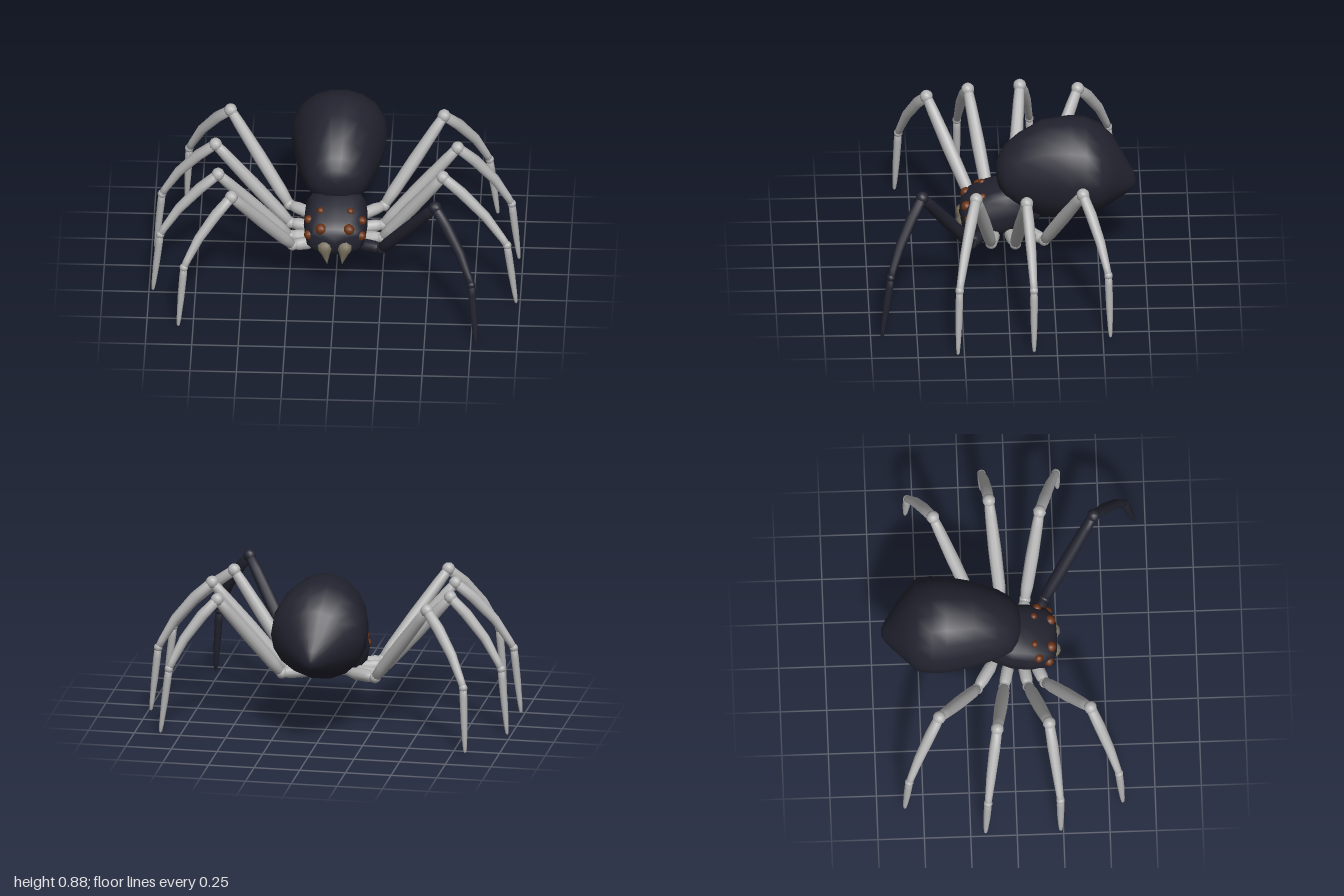
import * as THREE from 'three';

const mat = (name, color) => {
  const m = new THREE.MeshStandardMaterial({ color });
  m.name = name;
  return m;
};

// Closed body lofted along z from rows of [z, top, bottom, halfWidth]; power < 1 makes it boxier
function loft(rows, sides, power) {
  const pos = [], idx = [];
  const bend = (v) => Math.sign(v) * Math.pow(Math.abs(v), power);
  rows.forEach(([z, top, bottom, w]) => {
    for (let j = 0; j < sides; j++) {
      const a = (j / sides) * Math.PI * 2;
      pos.push(w * bend(Math.cos(a)), (top + bottom) / 2 + ((top - bottom) / 2) * bend(Math.sin(a)), z);
    }
  });
  for (let i = 0; i < rows.length - 1; i++) {
    for (let j = 0; j < sides; j++) {
      const k = (j + 1) % sides;
      const a = i * sides + j, b = i * sides + k, c = a + sides, d = b + sides;
      idx.push(a, c, b, b, c, d);
    }
  }
  const g = new THREE.BufferGeometry();
  g.setAttribute('position', new THREE.Float32BufferAttribute(pos, 3));
  g.setIndex(idx);
  g.computeVertexNormals();
  return g;
}

// Round limb from a to b, radii given as [fraction, radius], bowed by a vector at the middle
function limb(name, a, b, radii, material, bow = new THREE.Vector3()) {
  const dir = b.clone().sub(a), len = dir.length();
  const g = new THREE.LatheGeometry(radii.map(([t, r]) => new THREE.Vector2(r, t * len)), 10);
  g.applyQuaternion(new THREE.Quaternion().setFromUnitVectors(new THREE.Vector3(0, 1, 0), dir.clone().normalize()));
  const p = g.attributes.position, v = new THREE.Vector3();
  for (let i = 0; i < p.count; i++) {
    v.fromBufferAttribute(p, i);
    const t = THREE.MathUtils.clamp(v.dot(dir) / (len * len), 0, 1);
    v.addScaledVector(bow, Math.sin(t * Math.PI)).add(a);
    p.setXYZ(i, v.x, v.y, v.z);
  }
  const mesh = new THREE.Mesh(g, material);
  mesh.name = name;
  return mesh;
}

function ball(name, c, r, material) {
  const m = new THREE.Mesh(new THREE.SphereGeometry(r, 10, 7), material);
  m.position.copy(c);
  m.name = name;
  return m;
}

const COXA = [[0, 0], [0, 0.018], [0.35, 0.034], [0.75, 0.033], [1, 0.024], [1, 0]];
const FEMUR = [[0, 0], [0, 0.026], [0.15, 0.034], [0.5, 0.036], [0.85, 0.031], [1, 0.026], [1, 0]];
const TIBIA = [[0, 0], [0, 0.028], [0.25, 0.031], [0.6, 0.027], [0.9, 0.021], [1, 0.02], [1, 0]];
const TARSUS = [[0, 0], [0, 0.019], [0.15, 0.021], [0.5, 0.019], [0.85, 0.013], [0.97, 0.009], [1, 0]];

// One leg through its five joints
function leg(name, joints, material) {
  const [root, hip, knee, ankle, foot] = joints.map((j) => new THREE.Vector3(...j));
  const out = new THREE.Vector3(ankle.x - knee.x, 0, ankle.z - knee.z).normalize().multiplyScalar(0.025);
  out.y = 0.015;
  const g = new THREE.Group();
  g.name = name;
  g.add(
    limb('coxa', root, hip, COXA, material),
    ball('hipJoint', hip, 0.032, material),
    limb('femur', hip, knee, FEMUR, material),
    ball('kneeJoint', knee, 0.036, material),
    limb('tibia', knee, ankle, TIBIA, material, out),
    ball('ankleJoint', ankle, 0.024, material),
    limb('tarsus', ankle, foot, TARSUS, material)
  );
  return g;
}

export function createModel() {
  const dark = mat('darkNavy', 0x232330);
  const grey = mat('grey', 0xb4b4b4);
  const orange = mat('burntOrange', 0x6a3010);
  const tan = mat('tan', 0x7a7260);

  const model = new THREE.Group();
  model.name = 'spider';

  // Abdomen
  const abdomen = new THREE.Mesh(loft([
    [0.053, 0.6, 0.59, 0], [0.05, 0.64, 0.55, 0.05], [0.035, 0.68, 0.5, 0.1], [0, 0.735, 0.44, 0.15],
    [-0.07, 0.8, 0.39, 0.185], [-0.2, 0.88, 0.335, 0.225], [-0.35, 0.897, 0.325, 0.255],
    [-0.43, 0.885, 0.35, 0.26], [-0.51, 0.84, 0.385, 0.25], [-0.58, 0.775, 0.42, 0.175],
    [-0.64, 0.665, 0.45, 0.105], [-0.685, 0.585, 0.475, 0.045], [-0.698, 0.54, 0.5, 0.015], [-0.7, 0.52, 0.52, 0]
  ], 18, 1), dark);
  abdomen.name = 'abdomen';

  // Head and thorax
  const thorax = new THREE.Mesh(loft([
    [0.25, 0.35, 0.34, 0], [0.245, 0.4, 0.29, 0.08], [0.225, 0.425, 0.265, 0.135], [0.19, 0.455, 0.25, 0.16],
    [0.1, 0.5, 0.238, 0.172], [0, 0.53, 0.25, 0.168], [-0.1, 0.5, 0.285, 0.13],
    [-0.18, 0.43, 0.32, 0.08], [-0.2, 0.38, 0.38, 0]
  ], 16, 0.72), dark);
  thorax.name = 'headAndThorax';
  model.add(abdomen, thorax);

  // Eyes and fangs, mirrored
  const eyes = [[0.075, 0.415, 0.212, 0.031], [0.14, 0.37, 0.2, 0.028], [0.143, 0.43, 0.145, 0.025], [0.08, 0.475, 0.125, 0.02]];
  for (const s of [1, -1]) {
    for (const [x, y, z, r] of eyes) model.add(ball('eye', new THREE.Vector3(s * x, y, z), r, orange));
    model.add(limb('fang', new THREE.Vector3(s * 0.06, 0.36, 0.215), new THREE.Vector3(s * 0.04, 0.215, 0.25),
      [[0, 0], [0, 0.022], [0.22, 0.042], [0.42, 0.04], [0.6, 0.025], [1, 0]], tan));
  }

  // Legs: root, hip, knee, ankle, foot
  const legs = [
    ['leftFrontLeg', dark, [0.1, 0.27, 0.12], [0.25, 0.285, 0.19], [0.55, 0.742, 0.465], [0.75, 0.365, 0.64], [0.78, 0.01, 0.69]],
    ['leftSecondLeg', grey, [0.1, 0.27, 0.06], [0.25, 0.285, 0.085], [0.58, 0.745, 0.175], [0.93, 0.38, 0.275], [0.98, 0.01, 0.285]],
    ['leftThirdLeg', grey, [0.09, 0.275, -0.01], [0.25, 0.28, -0.045], [0.65, 0.755, -0.095], [0.94, 0.38, -0.125], [0.98, 0.02, -0.125]],
    ['leftBackLeg', grey, [0.08, 0.29, -0.08], [0.25, 0.3, -0.2], [0.565, 0.755, -0.4], [0.805, 0.39, -0.53], [0.85, 0.03, -0.54]],
    ['rightFrontLeg', grey, [-0.1, 0.27, 0.12], [-0.23, 0.285, 0.175], [-0.55, 0.745, 0.41], [-0.8, 0.38, 0.555], [-0.83, 0.01, 0.575]],
    ['rightSecondLeg', grey, [-0.1, 0.27, 0.06], [-0.25, 0.285, 0.085], [-0.63, 0.74, 0.185], [-0.94, 0.375, 0.235], [-0.98, 0.01, 0.235]],
    ['rightThirdLeg', grey, [-0.09, 0.275, -0.01], [-0.25, 0.28, -0.045], [-0.655, 0.745, -0.095], [-0.945, 0.375, -0.155], [-0.98, 0.01, -0.17]],
    ['rightBackLeg', grey, [-0.08, 0.29, -0.08], [-0.26, 0.3, -0.19], [-0.585, 0.76, -0.405], [-0.815, 0.39, -0.575], [-0.83, 0.03, -0.6]]
  ];
  for (const [name, material, ...joints] of legs) model.add(leg(name, joints, material));

  return model;
}
